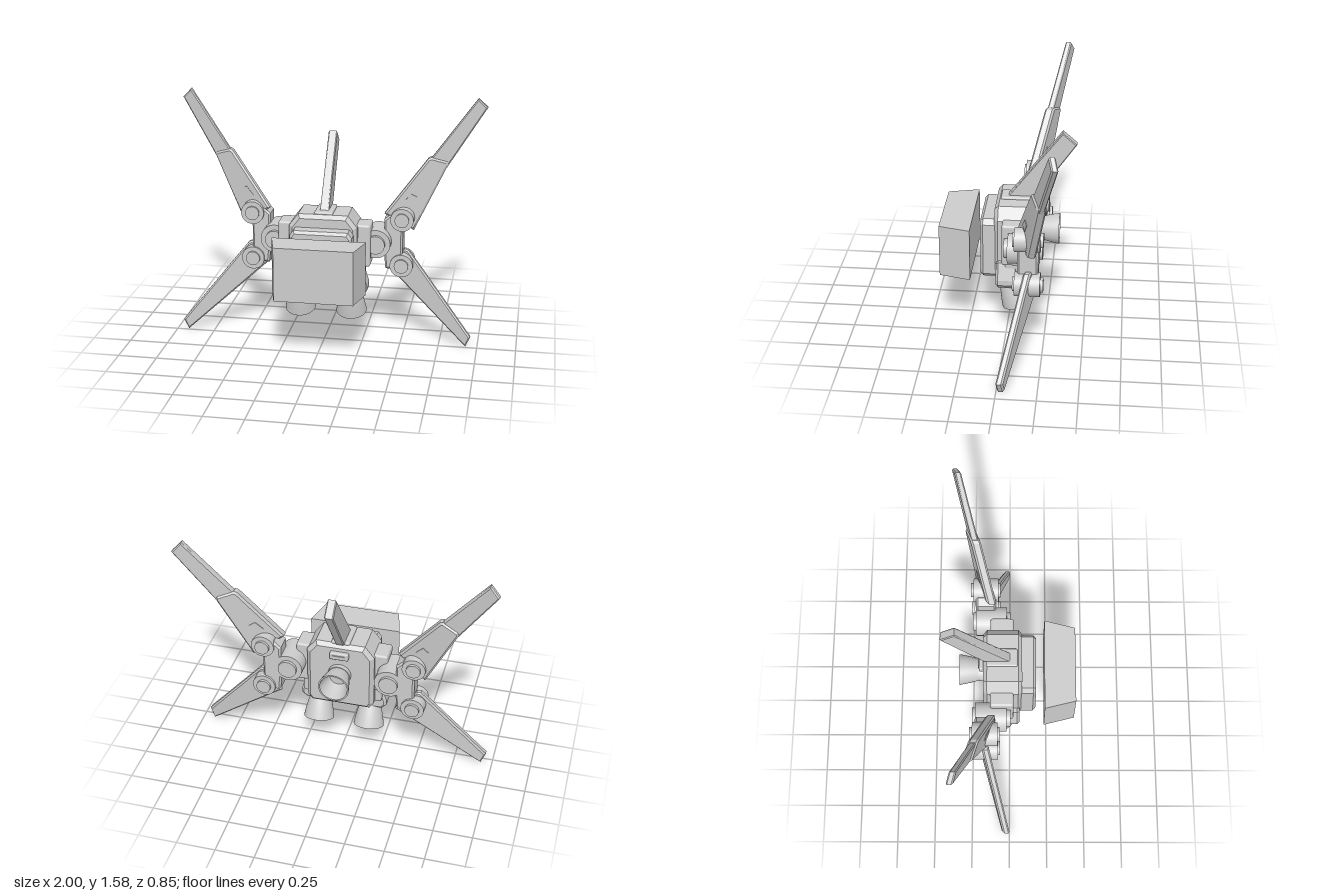
import * as THREE from 'three';
import { toCreasedNormals } from 'three/addons/utils/BufferGeometryUtils.js';
import { RoundedBoxGeometry } from 'three/addons/geometries/RoundedBoxGeometry.js';

// Bevelled plate from an outline; its thickness is centred on z = 0
function plate(points, thickness, bevel) {
  const shape = new THREE.Shape(points.map(([x, y]) => new THREE.Vector2(x, y)));
  const geo = new THREE.ExtrudeGeometry(shape, {
    depth: thickness - 2 * bevel, bevelEnabled: bevel > 0, bevelThickness: bevel,
    bevelSize: bevel, bevelOffset: -bevel, bevelSegments: 1,
  });
  return geo.translate(0, 0, bevel - thickness / 2);
}

// Lean a plate so that z changes steadily with x
function lean(geo, x0, z0, slope) {
  const p = geo.attributes.position;
  for (let i = 0; i < p.count; i++) p.setZ(i, p.getZ(i) + z0 + slope * (p.getX(i) - x0));
  geo.computeVertexNormals();
  return geo;
}

// Mirror in x and restore the corner order
function mirror(source) {
  const geo = source.index ? source.toNonIndexed() : source.clone();
  geo.scale(-1, 1, 1);
  for (const name of ['position', 'normal']) {
    const a = geo.attributes[name];
    for (let i = 0; i < a.count; i += 3) {
      const b = [a.getX(i + 1), a.getY(i + 1), a.getZ(i + 1)];
      a.setXYZ(i + 1, a.getX(i + 2), a.getY(i + 2), a.getZ(i + 2));
      a.setXYZ(i + 2, ...b);
    }
  }
  return geo;
}

// Cylinder along z between two depths
function pin(x, y, z0, z1, r) {
  return new THREE.CylinderGeometry(r, r, z1 - z0, 32).rotateX(Math.PI / 2).translate(x, y, (z0 + z1) / 2);
}

// Hollow bell opening downwards from its throat at the origin
function bell(rTop, rEnd, length) {
  const steps = [0, 0.15, 0.4, 0.7, 1];
  const radius = t => rTop + (rEnd - rTop) * (0.6 * t + 0.4 * Math.sin(t * Math.PI / 2));
  const inner = steps.map(t => new THREE.Vector2(radius(t) - 0.01, -0.02 - t * (length - 0.02)));
  const outer = steps.map(t => new THREE.Vector2(radius(t), -t * length)).reverse();
  const profile = [new THREE.Vector2(0, -0.02), ...inner, ...outer, new THREE.Vector2(0, 0)];
  return toCreasedNormals(new THREE.LatheGeometry(profile, 32), 0.7);
}

function roundedBox(w, h, d, x, y, z, r = 0.015) {
  return new RoundedBoxGeometry(w, h, d, 2, r).translate(x, y, z);
}

export function createModel() {
  const model = new THREE.Group();
  const grey = new THREE.MeshStandardMaterial({ color: 0xcccccc, side: THREE.DoubleSide });
  grey.name = 'grey';

  const add = (name, geo) => {
    const mesh = new THREE.Mesh(geo, grey);
    mesh.name = name;
    model.add(mesh);
  };
  const addPair = (name, geo) => {
    add(name + 'Left', geo);
    add(name + 'Right', mirror(geo));
  };

  // Core pack with sloping shoulders
  add('body', plate([[-0.19, 0.39], [0.19, 0.39], [0.22, 0.43], [0.22, 0.79], [0.16, 0.868],
    [-0.16, 0.868], [-0.22, 0.79], [-0.22, 0.43]], 0.25, 0.025).translate(0, 0, -0.045));
  add('frontCover', plate([[-0.17, 0.37], [0.17, 0.37], [0.2, 0.4], [0.2, 0.75], [0.175, 0.785],
    [-0.175, 0.785], [-0.2, 0.75], [-0.2, 0.4]], 0.12, 0.018).translate(0, 0, 0.11));

  // Detached block in front, narrowing forwards
  add('frontBlock', plate([[-0.3, -0.225], [0.3, -0.225], [0.25, -0.425], [-0.25, -0.425]], 0.35, 0)
    .rotateX(-Math.PI / 2).translate(0, 0.58, 0));

  // Swept central fin and its collar
  add('centralFin', plate([[0.01, 0.87], [-0.165, 0.87], [-0.425, 1.245], [-0.335, 1.323]], 0.057, 0.006)
    .rotateY(-Math.PI / 2));
  add('finCollar', roundedBox(0.12, 0.03, 0.2, 0, 0.867, -0.05, 0.01));

  // Rear engine and vent
  add('rearEngineMount', pin(0, 0.645, -0.2, -0.15, 0.075));
  add('rearNozzle', bell(0.066, 0.1, 0.14).rotateX(Math.PI / 2).translate(0, 0.645, -0.185));
  add('rearVent', roundedBox(0.12, 0.05, 0.035, 0, 0.795, -0.18, 0.008));
  add('rearVentSlot', new THREE.BoxGeometry(0.08, 0.018, 0.008).translate(0, 0.795, -0.199));

  // Lower engines on tapered mounts
  addPair('engineMount', plate([[0.075, 0.335], [0.255, 0.335], [0.285, 0.365], [0.285, 0.4], [0.25, 0.51],
    [0.08, 0.51], [0.055, 0.4], [0.055, 0.365]], 0.14, 0.015).translate(0, 0, -0.005));
  addPair('engineThroat', new THREE.CylinderGeometry(0.055, 0.06, 0.05, 32).rotateX(0.32).translate(0.17, 0.345, -0.015));
  addPair('lowerNozzle', bell(0.058, 0.1, 0.18).rotateX(0.32).translate(0.17, 0.36, -0.01));

  // Side pods and the main hinges
  addPair('sidePod', roundedBox(0.1, 0.28, 0.15, 0.25, 0.66, -0.05));
  addPair('sidePodFoot', roundedBox(0.07, 0.12, 0.12, 0.225, 0.48, -0.05));
  addPair('mainHinge', pin(0.33, 0.663, -0.22, -0.02, 0.094));
  addPair('mainHingeCap', pin(0.33, 0.663, -0.24, 0.005, 0.06));

  // Wing bracket with two knuckles
  addPair('wingBracket', plate([[0.385, 0.475], [0.47, 0.475], [0.495, 0.52], [0.495, 0.82], [0.42, 0.85],
    [0.375, 0.81], [0.375, 0.74], [0.36, 0.72], [0.36, 0.6], [0.375, 0.58]], 0.13, 0.012).translate(0, 0, -0.155));
  for (const [level, y] of [['upper', 0.814], ['lower', 0.504]]) {
    addPair(level + 'WingHinge', pin(0.49, y, -0.235, -0.075, 0.075));
    addPair(level + 'WingHingeCap', pin(0.49, y, -0.253, -0.062, 0.046));
  }

  // Upper wings: thick root section with a thinner blade sliding out of it
  addPair('upperWingRoot', lean(plate([[0.375, 0.85], [0.56, 0.727], [0.765, 1.155], [0.76, 1.175],
    [0.66, 1.208], [0.64, 1.2]], 0.062, 0.012), 0.375, -0.115, -0.36));
  addPair('upperWingBlade', lean(plate([[0.56, 1.07], [0.69, 1.03], [1.0, 1.515], [0.94, 1.577]],
    0.04, 0.008), 0.375, -0.115, -0.36));
  addPair('wingRootPanel', lean(plate([[0.49, 0.92], [0.53, 0.89], [0.575, 0.955], [0.54, 0.975]],
    0.07, 0), 0.375, -0.115, -0.36));

  // Lower wings, swept slightly forwards
  addPair('lowerWing', lean(plate([[0.375, 0.48], [0.925, -0.003], [0.955, 0.067], [0.53, 0.595], [0.505, 0.6]],
    0.045, 0.01), 0.95, -0.02, 0.315));

  return model;
}
